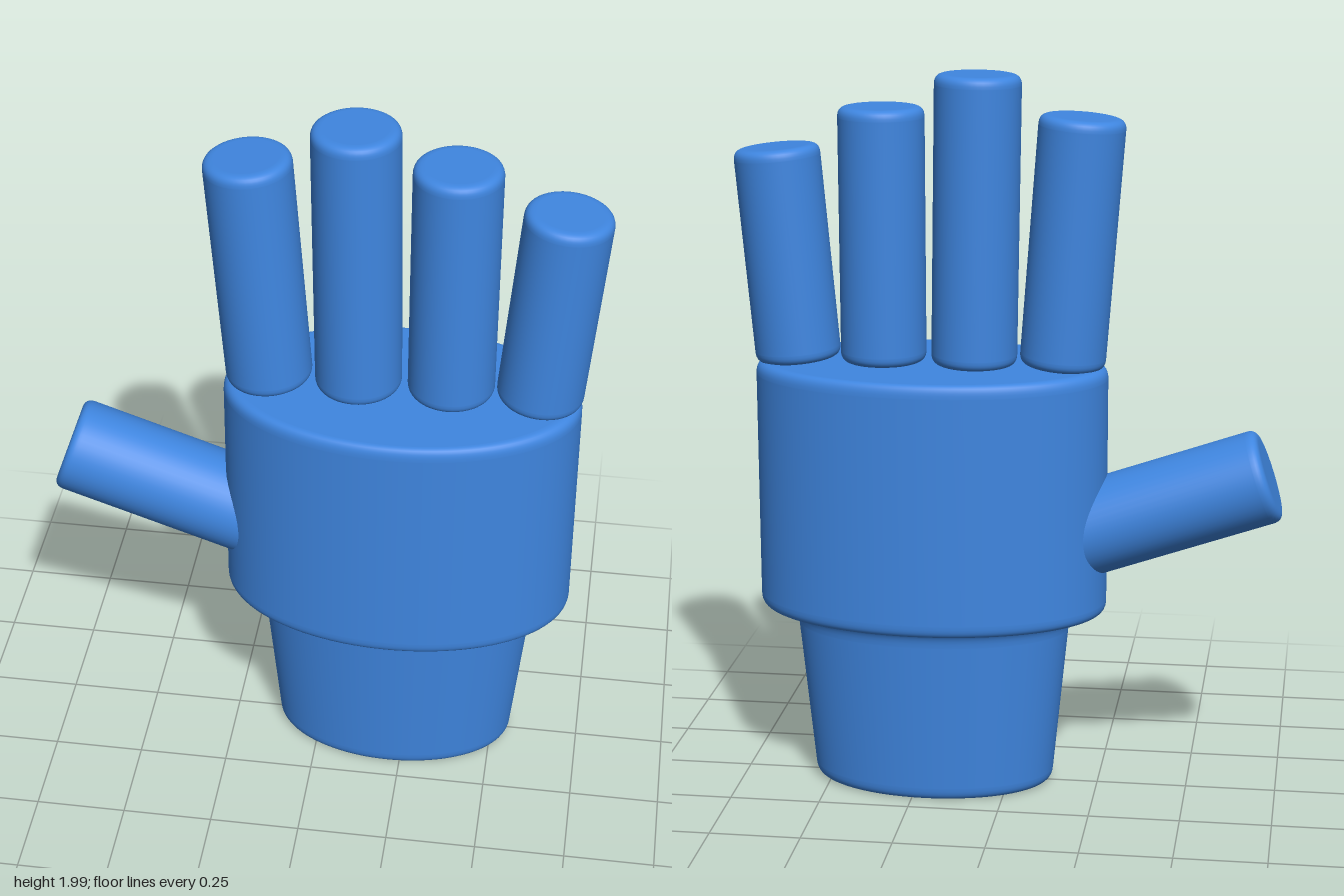
import * as THREE from 'three';

const blue = new THREE.MeshStandardMaterial({ color: 0x3f86e0 });

// Lathe from [radius, y, fillet] corners, each corner rounded by a short curve
function filletLathe(corners, segments) {
  const pts = [];
  corners.forEach(([r, y, f], i) => {
    const p = new THREE.Vector2(r, y);
    if (!f) return pts.push(p);
    const toward = (q, d) => p.clone().add(new THREE.Vector2(q[0], q[1]).sub(p).setLength(d));
    const a = corners[i - 1], b = corners[i + 1];
    const curve = new THREE.QuadraticBezierCurve(toward(a, f), p, toward(b, f));
    // guard points keep the flat faces flat-shaded
    pts.push(toward(a, f * 1.05), ...curve.getPoints(8), toward(b, f * 1.05));
  });
  return new THREE.LatheGeometry(pts, segments);
}

// Round-edged cylinder between two points in the z = 0 plane
function digit(name, from, to, radius, fillet) {
  const a = new THREE.Vector3(...from, 0), b = new THREE.Vector3(...to, 0);
  const len = a.distanceTo(b);
  const geo = filletLathe([[0, 0], [radius, 0, fillet], [radius, len, fillet], [0, len]], 48);
  const mesh = new THREE.Mesh(geo, blue);
  mesh.name = name;
  mesh.position.copy(a);
  mesh.quaternion.setFromUnitVectors(new THREE.Vector3(0, 1, 0), b.sub(a).normalize());
  return mesh;
}

export function createModel() {
  const hand = new THREE.Group();
  hand.name = 'hand';

  // Elliptical wrist and palm
  const oval = (name, corners) => {
    const mesh = new THREE.Mesh(filletLathe(corners, 96).scale(1, 1, 0.597), blue);
    mesh.name = name;
    mesh.position.x = 0.215;
    hand.add(mesh);
  };
  // The wrist tapers down and flares softly into the palm underside
  oval('wrist', [[0, 0.005], [0.335, 0.005, 0.035], [0.385, 0.506, 0.045], [0.45, 0.51], [0, 0.53]]);
  oval('palm', [[0, 0.508], [0.485, 0.508, 0.035], [0.485, 1.21, 0.035], [0, 1.21]]);

  // Four fingers, fanned out
  const fingers = [
    ['indexFinger', [-0.145, 1.21], [-0.197, 1.889]],
    ['middleFinger', [0.097, 1.208], [0.084, 1.997]],
    ['ringFinger', [0.347, 1.21], [0.347, 1.907]],
    ['littleFinger', [0.584, 1.21], [0.635, 1.794]],
  ];
  for (const [name, from, to] of fingers) hand.add(digit(name, from, to, 0.117, 0.028));

  // Thumb, sunk into the side of the palm
  hand.add(digit('thumb', [-0.1, 0.71], [-0.714, 0.923], 0.13, 0.028));
  return hand;
}
